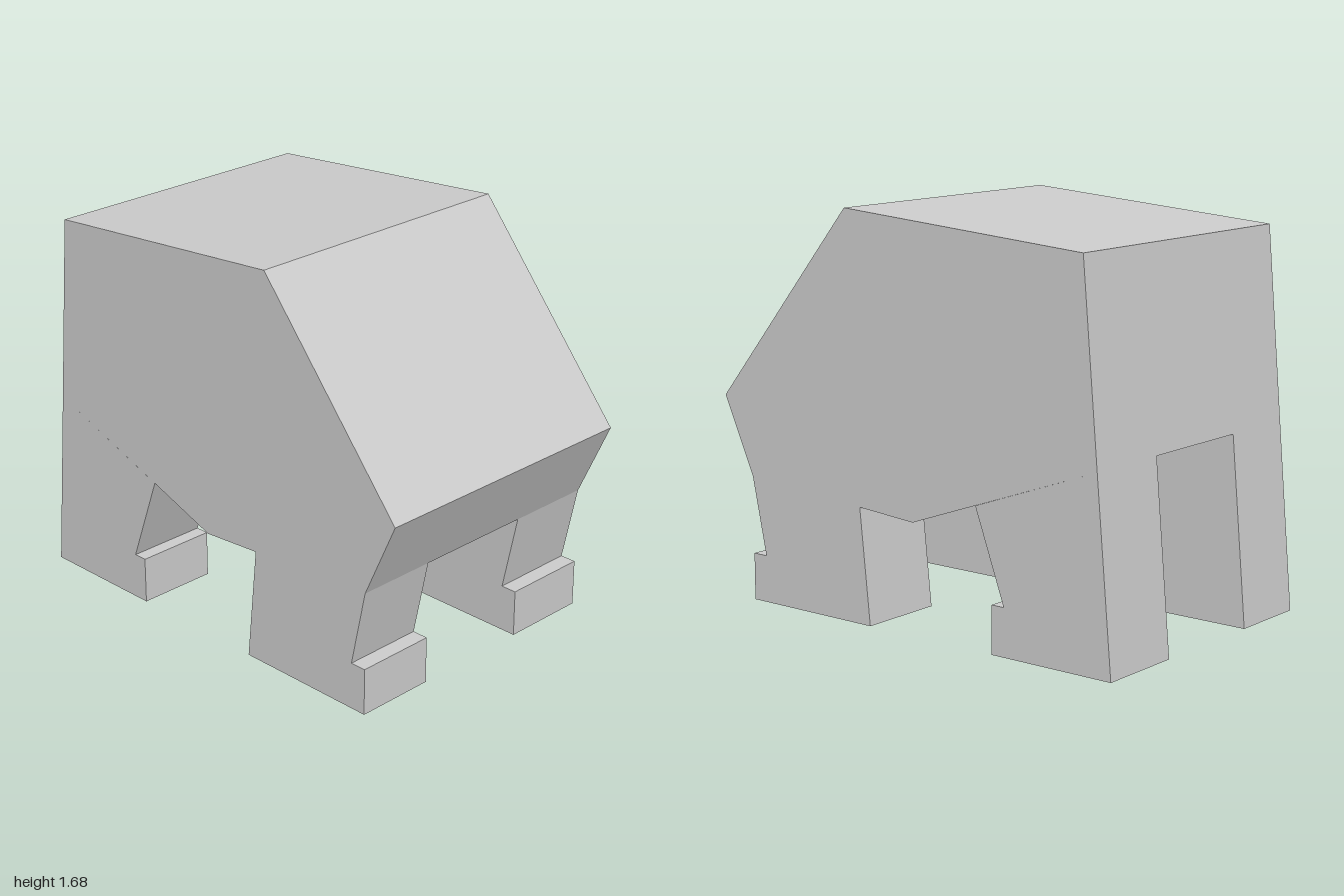
import * as THREE from 'three';

const material = new THREE.MeshStandardMaterial({ color: 0xcccccc, flatShading: true });

// Side profile of [z, y] points, extruded across the width from x0 to x1
function slab(name, profile, x0, x1) {
  const shape = new THREE.Shape(profile.map(([z, y]) => new THREE.Vector2(z, y)));
  const geometry = new THREE.ExtrudeGeometry(shape, { depth: x1 - x0, bevelEnabled: false });
  geometry.rotateY(-Math.PI / 2).translate(x1, 0, 0);
  const mesh = new THREE.Mesh(geometry, material);
  mesh.name = name;
  return mesh;
}

export function createModel() {
  const model = new THREE.Group();
  model.name = 'blockAnimal';

  // Body with sloping face, nearly flat back and angled belly
  const body = [[1, 0.86], [0.85, 0.53], [-0.03, 0.465], [-0.93, 0.79], [-0.86, 1.595], [0.315, 1.685]];
  model.add(slab('body', body, -0.63, 0.63));

  // Legs, each with a toe step at the front of the foot
  const frontLeg = [[0.85, 0.53], [0.78, 0.2], [0.85, 0.2], [0.85, 0], [0.2, 0], [0.25, 0.486]];
  const backLeg = [[-0.35, 0.58], [-0.49, 0.2], [-0.43, 0.2], [-0.43, 0], [-1, 0], [-0.93, 0.79]];
  for (const [side, x0, x1] of [['Right', -0.63, -0.28], ['Left', 0.25, 0.63]]) {
    model.add(slab(`front${side}Leg`, frontLeg, x0, x1));
    model.add(slab(`back${side}Leg`, backLeg, x0, x1));
  }
  return model;
}
